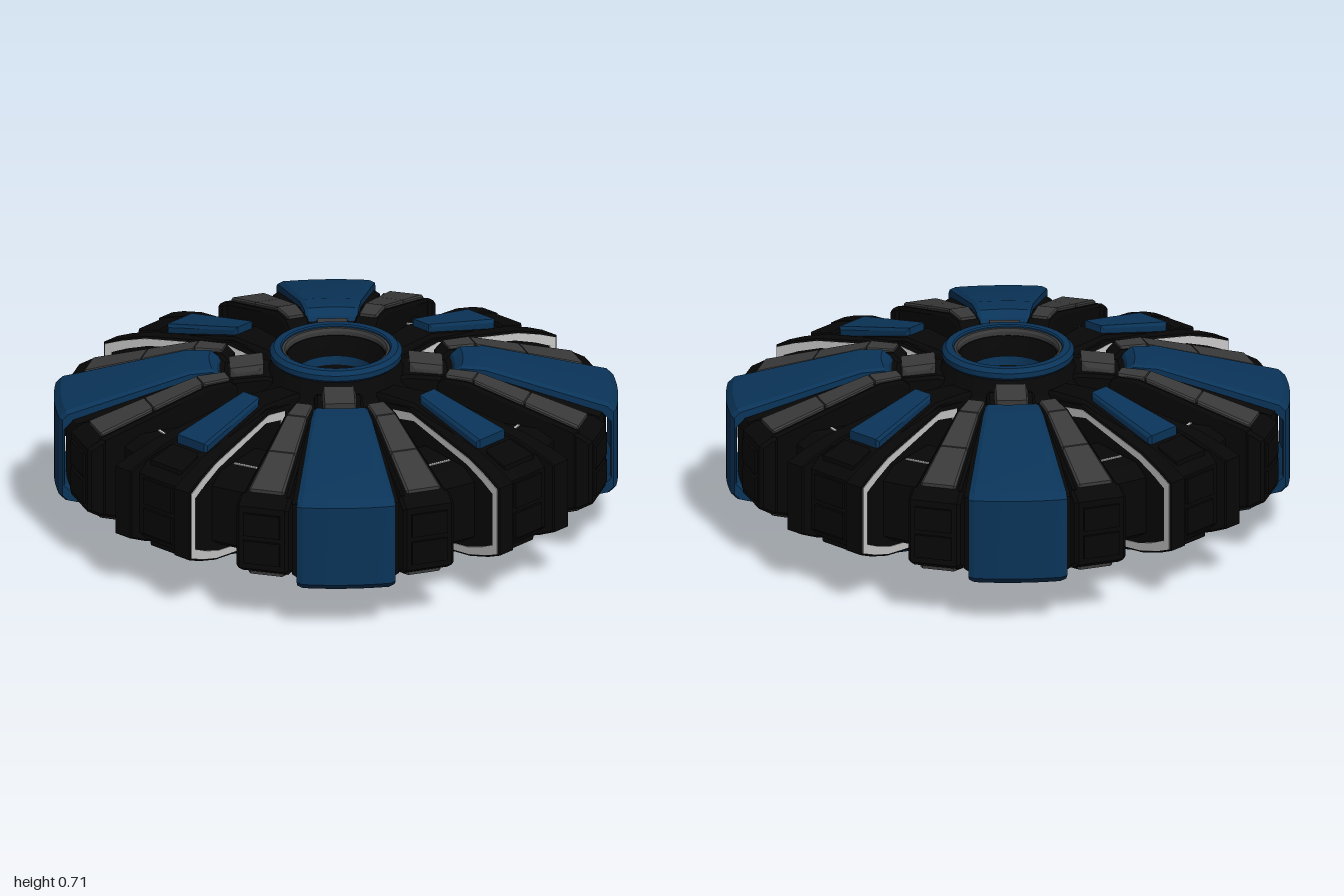
import * as THREE from 'three';
import { toCreasedNormals } from 'three/addons/utils/BufferGeometryUtils.js';

const mat = (color, side = THREE.FrontSide) => new THREE.MeshStandardMaterial({ color, side });
const MID = 0.355; // half height; parts are built around the middle plane

export function createModel() {
  const BLUE = mat(0x0a3459), DARK = mat(0x070707), GREY = mat(0x3a3a3a),
    TRIM = mat(0xc4c4c4, THREE.DoubleSide), CYAN = mat(0x12d4ee), BAND = mat(0x0a3459, THREE.DoubleSide);
  const model = new THREE.Group();
  const body = new THREE.Group();
  body.name = 'body';
  body.position.y = MID;
  model.add(body);

  const add = (parent, name, geo, material) => {
    const m = new THREE.Mesh(geo, material);
    m.name = name;
    parent.add(m);
    return m;
  };
  const flip = pts => pts.map(([r, h]) => [r, -h]);
  const closed = pts => [...pts, ...flip(pts).reverse()];
  // C-shaped shell around the top, outer end and bottom
  const shell = (pts, t) => {
    const inner = pts.map(([r, h]) => [r - t * 0.5, h - t]);
    return [...closed(pts), ...closed(inner).reverse()];
  };
  // Quad lying on a slope
  const slab = (r0, h0, r1, h1, t) => [[r0, h0 - t], [r0, h0], [r1, h1], [r1, h1 - t]];

  // Side profile (radius, height) swept across a width that depends on radius
  const wedge = (pts, lo, hi, { bevel = 0.012, arc = false, hole = null } = {}) => {
    const shape = new THREE.Shape(pts.map(p => new THREE.Vector2(...p)));
    if (hole) shape.holes.push(new THREE.Path(hole.map(p => new THREE.Vector2(...p))));
    const bt = bevel ? 0.06 : 0;
    const geo = new THREE.ExtrudeGeometry(shape, {
      depth: 1 - 2 * bt, steps: arc ? 8 : 1, bevelEnabled: bevel > 0,
      bevelSize: bevel, bevelOffset: -bevel, bevelThickness: bt, bevelSegments: 1,
    });
    const p = geo.attributes.position;
    for (let i = 0; i < p.count; i++) {
      const r = p.getX(i), t = p.getZ(i) + bt;
      const z = lo(r) + (hi(r) - lo(r)) * t;
      p.setX(i, arc ? Math.sqrt(Math.max(r * r - z * z, 0)) : r);
      p.setZ(i, z);
    }
    geo.computeVertexNormals();
    return toCreasedNormals(geo, 0.3);
  };
  // Same, symmetric about the arm axis with half width a + b * r
  const centred = (pts, a, b, opt) => wedge(pts, r => -a - b * r, r => a + b * r, opt);
  const bothFaces = (parent, name, pts, a, b, material, opt) => {
    add(parent, name + 'Top', centred(pts, a, b, opt), material);
    add(parent, name + 'Bottom', centred(flip(pts), a, b, opt), material);
  };
  const lathe = pts => toCreasedNormals(
    new THREE.LatheGeometry([...pts, pts[0]].map(p => new THREE.Vector2(...p)), 64), 0.4);

  // Hub barrel with a funnel on each end and a wider collar
  const hub = new THREE.Group();
  hub.name = 'hub';
  body.add(hub);
  add(hub, 'barrel', lathe([[0.13, -0.17], [0.18, -0.32], [0.23, -0.32], [0.26, -0.24], [0.31, -0.2],
    [0.31, 0.2], [0.26, 0.24], [0.23, 0.32], [0.18, 0.32], [0.13, 0.17]]), DARK);
  add(hub, 'coreDisc', new THREE.CylinderGeometry(0.14, 0.14, 0.34, 48), DARK);
  for (const s of [1, -1]) {
    const end = new THREE.Group();
    end.name = s > 0 ? 'hubTop' : 'hubBottom';
    if (s < 0) end.rotation.x = Math.PI;
    hub.add(end);
    add(end, 'rimRing', lathe([[0.2, 0.31], [0.235, 0.31], [0.245, 0.32], [0.245, 0.34], [0.23, 0.355], [0.205, 0.355], [0.2, 0.35]]), BLUE);
    add(end, 'innerRing', lathe([[0.184, 0.3], [0.202, 0.3], [0.202, 0.345], [0.19, 0.345], [0.184, 0.335]]), GREY);
    const band = add(end, 'innerBand', new THREE.CylinderGeometry(0.147, 0.144, 0.035, 48, 1, true), BAND);
    band.position.y = 0.235;
    // Glowing wheel of spokes and rings
    for (const r of [0.04, 0.075, 0.112]) {
      const ring = add(end, 'coreRing', new THREE.TorusGeometry(r, 0.004, 6, 40), CYAN);
      ring.rotation.x = Math.PI / 2;
      ring.position.y = 0.178;
    }
    const centre = add(end, 'coreCentre', new THREE.CylinderGeometry(0.038, 0.038, 0.016, 24), CYAN);
    centre.position.y = 0.176;
    for (let i = 0; i < 24; i++) {
      const a = i * Math.PI / 12;
      const spoke = add(end, 'coreSpoke', new THREE.BoxGeometry(0.08, 0.006, 0.006), CYAN);
      spoke.position.set(Math.cos(a) * 0.07, 0.178, Math.sin(a) * 0.07);
      spoke.rotation.y = -a;
    }
  }

  // Ring linking all the arms
  add(body, 'linkRing', lathe([[0.53, -0.11], [0.56, -0.15], [0.8, -0.15], [0.865, -0.11],
    [0.865, 0.11], [0.8, 0.15], [0.56, 0.15], [0.53, 0.11]]), DARK);

  // Large blue-clad arm, built along +x
  const heavyArm = () => {
    const arm = new THREE.Group();
    arm.name = 'heavyArm';
    add(arm, 'neck', centred(closed([[0.19, 0.25], [0.26, 0.272], [0.4, 0.26], [0.46, 0.24]]), 0.09, 0), DARK);
    bothFaces(arm, 'neckBlock', slab(0.27, 0.31, 0.395, 0.295, 0.05), 0.063, 0, GREY, { bevel: 0.02 });
    add(arm, 'armCore', centred(closed([[0.39, 0.24], [0.44, 0.275], [0.56, 0.275], [1.0, 0.15]]), 0.05, 0.15, { arc: true }), DARK);
    add(arm, 'armShell', centred(shell([[0.44, 0.285], [0.47, 0.308], [0.56, 0.305], [1.02, 0.18], [1.045, 0.155]], 0.045),
      0.03, 0.148, { arc: true, bevel: 0.008 }), BLUE);
    for (const s of [1, -1]) {
      const flank = new THREE.Group();
      flank.name = 'flank';
      flank.rotation.y = s * 0.312;
      arm.add(flank);
      add(flank, 'flankBody', centred(closed([[0.4, 0.265], [0.43, 0.292], [0.52, 0.29], [0.96, 0.155], [1.0, 0.13]]), 0.012, 0.08), DARK);
      // Grey panels with seams along the slope
      bothFaces(flank, 'innerPanel', slab(0.43, 0.303, 0.535, 0.3, 0.03), 0.004, 0.068, GREY, { bevel: 0.006 });
      bothFaces(flank, 'middlePanel', slab(0.54, 0.298, 0.735, 0.238, 0.03), 0.004, 0.068, GREY, { bevel: 0.006 });
      bothFaces(flank, 'outerPanel', slab(0.74, 0.236, 0.95, 0.171, 0.03), 0.004, 0.068, GREY, { bevel: 0.006 });
      add(flank, 'endPlate', centred(closed([[0.94, 0.15], [0.96, 0.155], [1.012, 0.125]]), 0.1, 0), DARK);
      for (const y of [-0.055, 0.055]) {
        add(flank, 'endPad', new THREE.BoxGeometry(0.02, 0.09, 0.14), DARK).position.set(1.012, y, 0);
      }
    }
    return arm;
  };

  // Slim finned arm, built along +x
  const finnedArm = () => {
    const arm = new THREE.Group();
    arm.name = 'finnedArm';
    add(arm, 'spine', centred(closed([[0.2, 0.25], [0.3, 0.265], [0.46, 0.278], [0.82, 0.19], [0.93, 0.155], [0.965, 0.12]]), 0.028, 0.09, { arc: true }), DARK);
    bothFaces(arm, 'spinePanel', slab(0.46, 0.307, 0.79, 0.232, 0.05), 0, 0.096, BLUE);
    bothFaces(arm, 'endCover', slab(0.82, 0.205, 0.93, 0.172, 0.03), 0, 0.085, DARK, { bevel: 0.006 });
    for (const y of [-0.06, 0.06]) {
      add(arm, 'endPad', new THREE.BoxGeometry(0.03, 0.1, 0.14), DARK).position.set(0.96, y, 0);
    }
    const fin = closed([[0.3, 0.235], [0.45, 0.262], [0.82, 0.2], [0.93, 0.165], [1.0, 0.135]]);
    const outline = closed([[0.35, 0.225], [0.46, 0.25], [0.82, 0.192], [0.92, 0.16], [0.992, 0.13]]);
    const hole = outline.map(([r, h]) => [0.67 + (r - 0.67) * 0.91, h - Math.sign(h) * 0.026]);
    for (const s of [1, -1]) {
      const across = (a, b) => s > 0 ? [r => a * r, r => b * r] : [r => -b * r, r => -a * r];
      add(arm, 'fin', wedge(fin, ...across(0.108, 0.19), { bevel: 0.006 }), DARK);
      add(arm, 'finTrim', wedge(outline, ...across(0.186, 0.193), { bevel: 0, hole }), TRIM);
      // Light strips on the link ring beside the arm
      for (const y of [0.15, -0.15]) {
        const strip = add(arm, 'lightStrip', new THREE.BoxGeometry(0.01, 0.008, 0.14), TRIM);
        strip.position.set(0.69, y, s * 0.212);
        strip.rotation.y = -s * 0.27;
      }
    }
    return arm;
  };

  for (let i = 0; i < 4; i++) {
    const slim = finnedArm(), heavy = heavyArm();
    slim.rotation.y = i * Math.PI / 2;
    heavy.rotation.y = (i + 0.5) * Math.PI / 2;
    body.add(slim, heavy);
  }
  return model;
}
